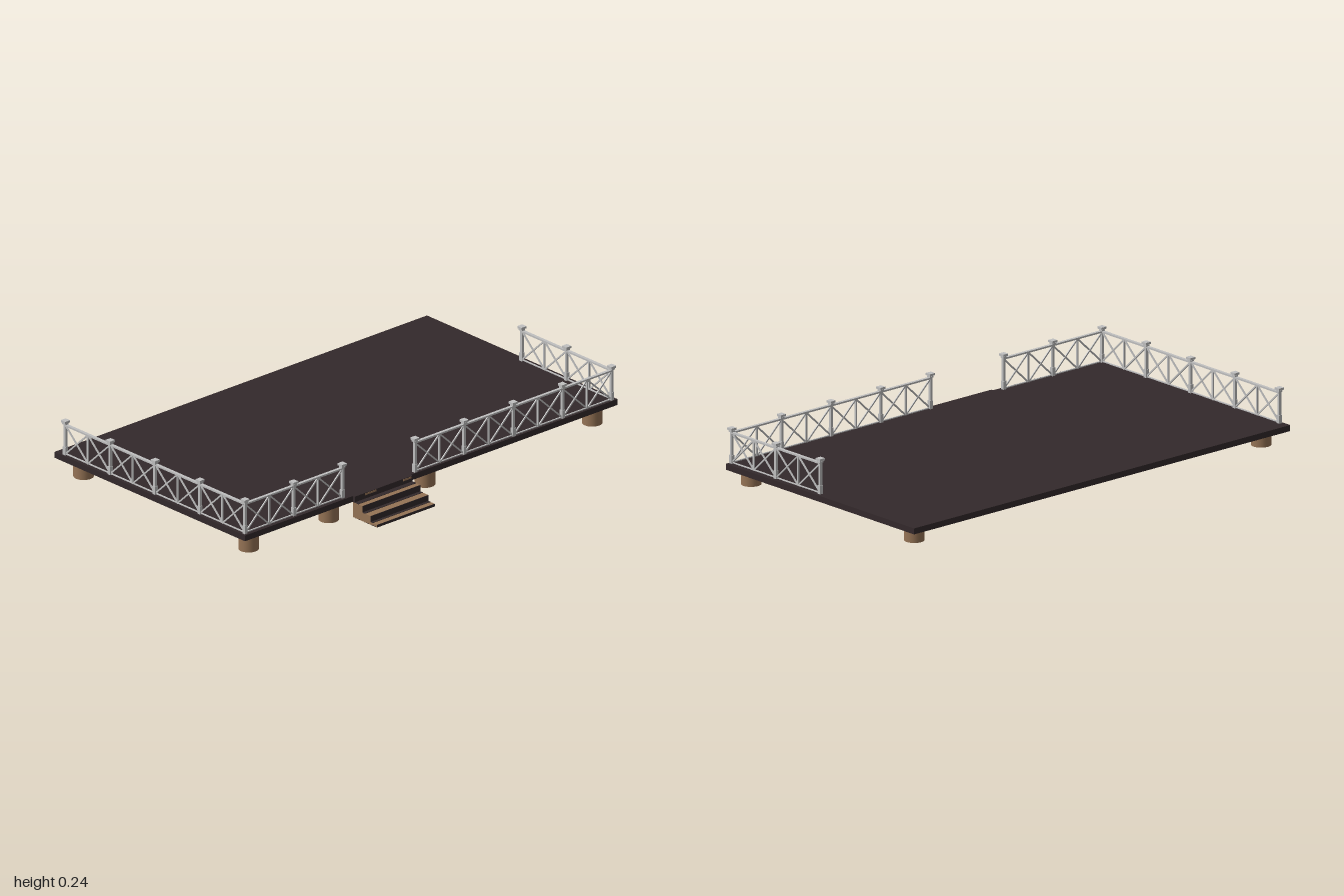
import * as THREE from 'three';

const mat = (name, color) => {
  const m = new THREE.MeshStandardMaterial({ color });
  m.name = name;
  return m;
};

export function createModel() {
  const dark = mat('darkBoards', 0x33292b);
  const wood = mat('brownWood', 0x957355);
  wood.side = THREE.DoubleSide;
  const metal = mat('lightGreyMetal', 0xc0c0c0);
  const model = new THREE.Group();

  const box = (parent, name, material, size, pos) => {
    const m = new THREE.Mesh(new THREE.BoxGeometry(...size), material);
    m.name = name;
    m.position.set(...pos);
    parent.add(m);
    return m;
  };

  // Deck slab
  box(model, 'deck', dark, [2, 0.025, 1.12], [0, 0.0785, -0.07]);

  // Round open-ended piers under the deck
  const pierGeo = new THREE.CylinderGeometry(0.041, 0.041, 0.067, 32, 1, true);
  const piers = [[-0.935, 0.44], [-0.505, 0.44], [0.012, 0.44], [0.91, 0.44], [-0.935, -0.53], [0.91, -0.53]];
  for (const [x, z] of piers) {
    const pier = new THREE.Mesh(pierGeo, wood);
    pier.name = 'pier';
    pier.position.set(x, 0.0335, z);
    model.add(pier);
  }

  // Steps: brown blocks with dark riser plates and dark bands above and below
  const steps = new THREE.Group();
  steps.name = 'steps';
  model.add(steps);
  const sx = -0.265, sw = 0.31;
  const levels = [[0.49, 0.545, 0.065, 0.032], [0.545, 0.593, 0.037, 0.016], [0.593, 0.63, 0.011, 0.013]];
  levels.forEach(([z0, z1, h, band], i) => {
    const below = i < 2 ? levels[i + 1][2] : 0;
    box(steps, 'step', wood, [sw, h, z1 - z0], [sx, h / 2, (z0 + z1) / 2]);
    box(steps, 'riser', dark, [sw, h - below, 0.002], [sx, (h + below) / 2, z1 + 0.0005]);
    box(steps, 'treadBand', dark, [sw, 0.002, band], [sx, h + 0.0005, z0 + band / 2]);
    box(steps, 'undersideBand', dark, [sw, 0.002, 0.028], [sx, 0.0005, (z0 + z1) / 2]);
  });

  // Top riser against the deck edge, with worn brown patches
  box(steps, 'topRiser', dark, [sw, 0.025, 0.01], [sx, 0.0785, 0.495]);
  for (const [x, w] of [[-0.335, 0.06], [-0.138, 0.045]]) {
    box(steps, 'wornPatch', wood, [w, 0.008, 0.002], [x, 0.085, 0.5]);
  }

  // Railing: posts, rails and two crossed panels per bay, laid out along local x
  const base = 0.091, top = 0.219;
  const railing = (name, x0, z0, x1, z1, bays) => {
    const g = new THREE.Group();
    g.name = name;
    g.position.set(x0, 0, z0);
    g.rotation.y = -Math.atan2(z1 - z0, x1 - x0);
    model.add(g);
    const length = Math.hypot(x1 - x0, z1 - z0);
    const bay = length / bays;
    const half = bay / 2;

    box(g, 'topRail', metal, [length, 0.007, 0.013], [half * bays, top, 0]);
    box(g, 'bottomRail', metal, [length, 0.004, 0.006], [half * bays, base + 0.004, 0]);

    for (let i = 0; i <= bays; i++) {
      const x = i * bay;
      box(g, 'post', metal, [0.011, 0.137, 0.011], [x, base + 0.0685, 0]);
      box(g, 'postFoot', metal, [0.015, 0.035, 0.015], [x, base + 0.0175, 0]);
      box(g, 'postCollar', metal, [0.018, 0.006, 0.018], [x, 0.225, 0]);
      box(g, 'postCap', metal, [0.026, 0.009, 0.026], [x, 0.235, 0]);
    }
    const rise = top - base - 0.004;
    for (let i = 0; i < bays * 2; i++) {
      const x = (i + 0.5) * half;
      if (i % 2) box(g, 'baluster', metal, [0.007, rise, 0.007], [i * half, (top + base) / 2, 0]);
      for (const s of [-1, 1]) {
        const brace = box(g, 'brace', metal, [Math.hypot(half, rise), 0.006, 0.005],
          [x, (top + base) / 2, s * 0.001]);
        brace.rotation.z = s * Math.atan2(rise, half);
      }
    }
  };

  railing('rightSideRailing', -0.985, 0.473, -0.985, -0.582, 4);
  railing('frontRightRailing', -0.985, 0.473, -0.462, 0.473, 2);
  railing('frontLeftRailing', -0.078, 0.479, 0.978, 0.479, 4);
  railing('leftSideRailing', 0.978, 0.479, 0.978, -0.048, 2);

  return model;
}
